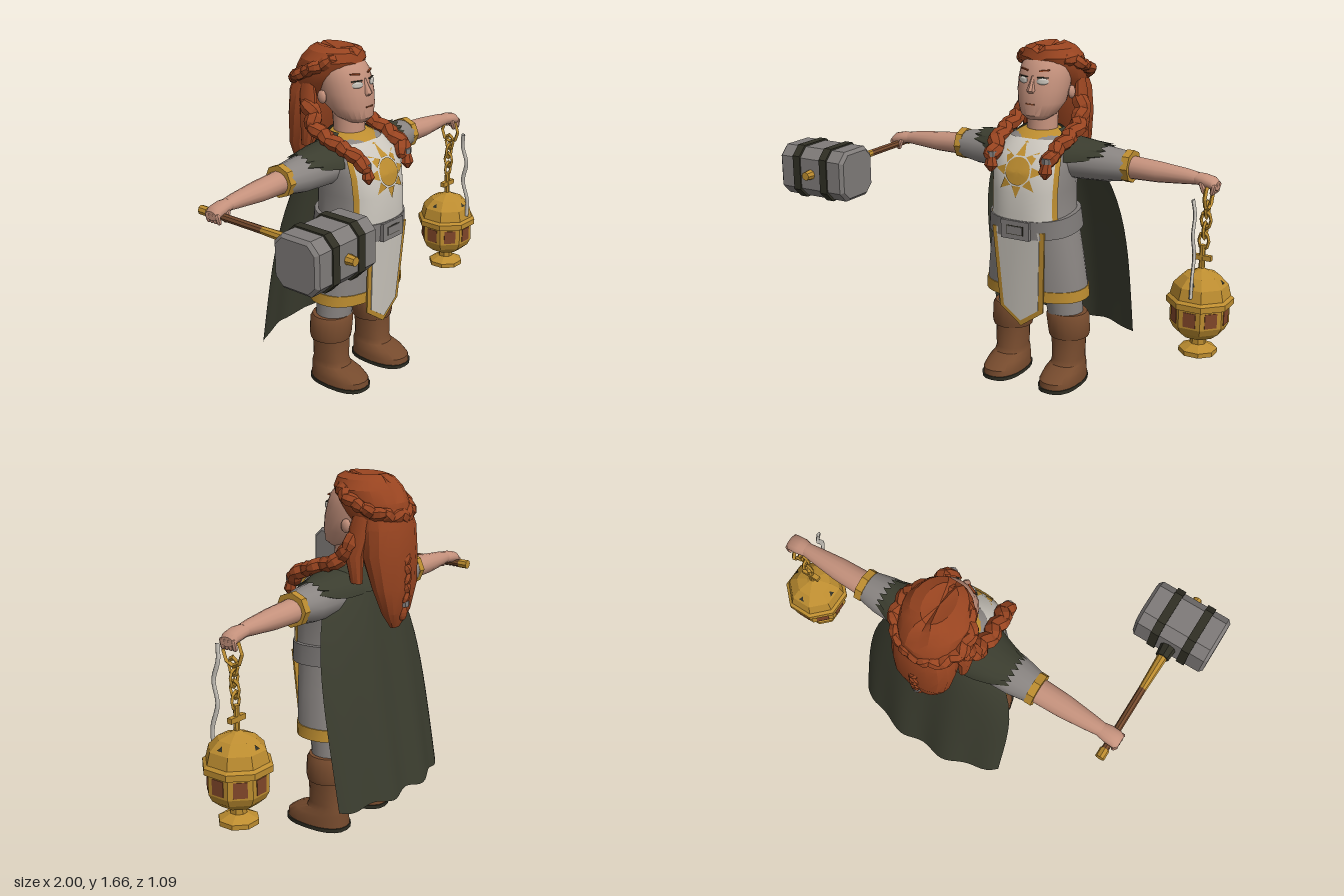
import * as THREE from 'three';
import { toCreasedNormals } from 'three/addons/utils/BufferGeometryUtils.js';

const mat = (name, color, side = THREE.FrontSide) => {
  const m = new THREE.MeshStandardMaterial({ color, side });
  m.name = name;
  return m;
};
const FLAT = 0.05, V = (...a) => new THREE.Vector3(...a);

// Skin over superellipse sections [t, cu, cv, ru, rv] along an axis; an arc gives an open shell.
// Axis y: u = x, v = z. Axis x: u = z, v = y.
function loft(secs, { axis = 'y', seg = 20, p = 2, arc = null, jag = 0 } = {}) {
  const [a0, a1] = arc || [0, Math.PI * 2], pos = [], idx = [], n = seg + 1;
  const put = (t, u, v) => pos.push(...(axis === 'y' ? [u, t, v] : [t, v, u]));
  const pw = k => Math.sign(k) * Math.abs(k) ** (2 / p);
  secs.forEach(([t, cu, cv, ru, rv], i) => {
    for (let j = 0; j < n; j++) {
      const a = a0 + (a1 - a0) * j / seg;
      put(t + (i === secs.length - 1 ? jag * (j % 2) : 0), cu + ru * pw(Math.cos(a)), cv + rv * pw(Math.sin(a)));
    }
  });
  for (let i = 0; i < secs.length - 1; i++) for (let j = 0; j < seg; j++) {
    const a = i * n + j, c = a + n;
    idx.push(a, c, a + 1, a + 1, c, c + 1);
  }
  if (!arc) [0, secs.length - 1].forEach((i, top) => {
    const k = pos.length / 3;
    put(secs[i][0], secs[i][1], secs[i][2]);
    for (let j = i * n; j < i * n + seg; j++) top ? idx.push(k, j + 1, j) : idx.push(k, j, j + 1);
  });
  if (secs[0][0] > secs[secs.length - 1][0])
    for (let i = 0; i < idx.length; i += 3) [idx[i], idx[i + 1]] = [idx[i + 1], idx[i]];
  const g = new THREE.BufferGeometry();
  g.setAttribute('position', new THREE.Float32BufferAttribute(pos, 3));
  g.setIndex(idx);
  g.computeVertexNormals();
  return g;
}

export function createModel() {
  const skin = mat('skin', 0xc4917c), hair = mat('hair', 0x984420), cloak = mat('cloak', 0x3b3d2f, THREE.DoubleSide);
  const cloth = mat('greyCloth', 0x8a8582), white = mat('whiteCloth', 0xccc7be, THREE.DoubleSide);
  const gold = mat('gold', 0xbd8d30, THREE.DoubleSide), leather = mat('leather', 0x754a2d), dark = mat('darkTrim', 0x302f24);
  const steel = mat('steel', 0x7f7b79), glass = mat('redGlass', 0x804629);

  const root = new THREE.Group(), body = new THREE.Group();
  root.name = 'figure';
  body.name = 'body';
  body.position.x = 0.025;
  root.add(body);
  const add = (name, geo, m, pos = [0, 0, 0], crease = 0.7, parent = body) => {
    const mesh = new THREE.Mesh(toCreasedNormals(geo, crease), m);
    mesh.name = name;
    mesh.position.set(...pos);
    parent.add(mesh);
    return mesh;
  };
  const box = (...s) => new THREE.BoxGeometry(...s);
  const ball = (r, sx = 1, sy = 1, sz = 1) => new THREE.SphereGeometry(r, 12, 8).scale(sx, sy, sz);
  const rod = (r0, r1, h, seg = 8) => new THREE.CylinderGeometry(r0, r1, h, seg);

  // Plaited strand: overlapping knots that lean to alternate sides
  function braid(name, pts, n, r, closed = false) {
    const curve = new THREE.CatmullRomCurve3(pts.map(q => V(...q)), closed), g = new THREE.Group();
    g.name = name;
    body.add(g);
    for (let i = 0; i < n; i++) {
      const t = i / (closed ? n : n - 1), q = curve.getPointAt(t);
      const knot = add('knot', new THREE.SphereGeometry(r, 7, 5).scale(1, 1.35, 0.9), hair, q.toArray(), FLAT, g);
      knot.quaternion.setFromUnitVectors(V(0, 1, 0), curve.getTangentAt(t));
      knot.rotateZ(i % 2 ? 0.55 : -0.55);
    }
  }

  // Torso and tabard
  const torso = [[0.8, 0, -0.14, 0.205, 0.185], [0.9, 0, -0.14, 0.188, 0.187], [1.0, 0, -0.14, 0.188, 0.185],
    [1.1, 0, -0.145, 0.192, 0.178], [1.18, 0, -0.165, 0.185, 0.16], [1.24, 0, -0.19, 0.14, 0.115], [1.265, 0, -0.2, 0.085, 0.08]];
  add('torso', loft(torso, { p: 2.5, seg: 28 }), cloth);
  const over = torso.slice(0, 6).map(([y, x, z, a, b]) => [y, x, z, a + 0.006, b + 0.006]);
  const front = Math.PI / 2;
  add('tabardChest', loft(over, { p: 2.5, arc: [front - 0.9, front + 0.9] }), white);
  for (const s of [-1, 1])
    add('tabardEdge', loft(over, { p: 2.5, seg: 3, arc: [front + s * 0.985 - 0.085, front + s * 0.985 + 0.085] }), gold);
  add('collar', loft([[1.225, 0, -0.185, 0.15, 0.135], [1.25, 0, -0.195, 0.125, 0.11], [1.27, 0, -0.2, 0.09, 0.085]]), gold);
  add('neck', loft([[1.24, 0, -0.2, 0.075, 0.075], [1.37, 0, -0.21, 0.07, 0.08]]), skin);

  // Sun badge laid on the curve of the chest
  const chestZ = (x, y) => {
    const i = Math.max(1, torso.findIndex(s => s[0] >= y)), A = torso[i - 1], B = torso[i];
    const k = (y - A[0]) / (B[0] - A[0]), f = c => A[c] + (B[c] - A[c]) * k;
    return f(2) + f(4) * (1 - Math.min(1, Math.abs(x) / f(3)) ** 2.5) ** 0.4;
  };
  const rays = Array.from({ length: 8 }, (_, i) => {
    const at = (r, d) => new THREE.Vector2(r * Math.sin(i * Math.PI / 4 + d), r * Math.cos(i * Math.PI / 4 + d));
    return new THREE.Shape([at(0.073, 0.33), at(0.073, -0.33), at(0.125, 0)]);
  });
  for (const [name, g] of [['sunDisc', new THREE.RingGeometry(0, 0.064, 24, 4)], ['sunRays', new THREE.ShapeGeometry(rays)]]) {
    const q = g.attributes.position;
    for (let i = 0; i < q.count; i++) {
      const y = q.getY(i) + 1.105;
      q.setXYZ(i, q.getX(i), y, chestZ(q.getX(i), y) + 0.012);
    }
    add(name, g, gold);
  }

  // Belt
  const belt = add('belt', loft([[-0.045, 0, -0.145, 0.224, 0.2], [0.045, 0, -0.145, 0.212, 0.2]], { p: 2.4, seg: 28 }), steel, [0, 0.83, 0]);
  belt.rotation.x = 0.07;
  add('buckle', box(0.15, 0.09, 0.02), steel, [0, 0.825, 0.055]);
  add('buckleBar', box(0.09, 0.045, 0.008), dark, [0, 0.825, 0.062]);
  add('bucklePlate', box(0.082, 0.037, 0.008), steel, [0, 0.825, 0.065]);

  // Skirt, hem and hanging tabard
  add('skirt', loft([[0.46, 0, -0.168, 0.262, 0.16], [0.52, 0, -0.165, 0.256, 0.16], [0.66, 0, -0.155, 0.236, 0.163],
    [0.82, 0, -0.145, 0.208, 0.165]], { p: 2.4, seg: 28 }), cloth);
  add('hem', loft([[0.455, 0, -0.168, 0.267, 0.165], [0.51, 0, -0.166, 0.262, 0.165]], { p: 2.4, seg: 28 }), gold);
  const flap = (name, inset, z, m) => {
    const w = 0.14 - inset, b = 0.118 - inset, tip = 0.32 + inset * 1.2, low = 0.405 + inset * 0.4;
    const halves = [-1, 1].map(s => new THREE.Shape([[0, 0.82], [s * w, 0.82], [s * b, low], [0, tip]].map(q => new THREE.Vector2(...q))));
    const g = new THREE.ExtrudeGeometry(halves, { depth: 0.008, bevelEnabled: false }), q = g.attributes.position;
    for (let i = 0; i < q.count; i++)
      q.setZ(i, q.getZ(i) + z - 0.005 + (q.getY(i) - 0.32) * 0.083 - Math.abs(q.getX(i)) * 0.09);
    add(name, g, m, [0, 0, 0], 0.4);
  };
  flap('tabardSkirtTrim', 0, 0, gold);
  flap('tabardSkirt', 0.024, 0.004, white);

  // Legs, arms and both sides of the head
  for (const s of [-1, 1]) {
    const X = s * 0.16;
    add('leg', loft([[0.28, s * 0.145, -0.2, 0.085, 0.085], [0.6, s * 0.12, -0.18, 0.1, 0.1]]), cloth);
    add('sole', loft([[0, X, -0.142, 0.097, 0.164], [0.02, X, -0.142, 0.099, 0.166]], { p: 2.5 }), dark);
    add('boot', loft([[0.02, X, -0.142, 0.097, 0.162], [0.048, X, -0.143, 0.096, 0.159], [0.076, X, -0.162, 0.09, 0.138],
      [0.1, X, -0.196, 0.08, 0.102], [0.125, X, -0.198, 0.077, 0.09], [0.27, X, -0.198, 0.082, 0.09]], { p: 2.3 }), leather);
    add('bootCuff', loft([[0.24, X, -0.2, 0.098, 0.1], [0.265, X, -0.2, 0.104, 0.104], [0.345, X - s * 0.008, -0.198, 0.108, 0.104],
      [0.365, X - s * 0.008, -0.198, 0.096, 0.094]]), leather);

    const arm = (name, secs, m, o = {}) => add(name, loft(secs.map(([t, ...r]) => [s * t, ...r]), { axis: 'x', seg: 14, ...o }), m);
    arm('sleeve', [[0.1, -0.2, 1.13, 0.11, 0.085], [0.22, -0.215, 1.13, 0.105, 0.088], [0.35, -0.22, 1.128, 0.095, 0.082],
      [0.46, -0.225, 1.13, 0.072, 0.066]], cloth);
    arm('sleeveCuff', [[0.435, -0.225, 1.13, 0.08, 0.078], [0.47, -0.225, 1.13, 0.08, 0.078]], gold, { seg: 8 });
    arm('forearm', [[0.46, -0.225, 1.126, 0.06, 0.054], [0.6, -0.225, 1.122, 0.055, 0.048], [0.74, -0.225, 1.12, 0.04, 0.035],
      [0.79, -0.225, 1.118, 0.033, 0.028]], skin);
    arm('hand', [[0.77, -0.225, 1.118, 0.032, 0.027], [0.82, -0.225, 1.115, 0.042, 0.03], [0.865, -0.225, 1.105, 0.042, 0.03],
      [0.885, -0.225, 1.095, 0.034, 0.02]], skin);
    for (let i = 0; i < 4; i++)
      add('finger', new THREE.CapsuleGeometry(0.011, 0.032, 3, 6), skin, [s * 0.873, 1.082, -0.256 + i * 0.021]).rotation.z = -s * 0.25;
    add('thumb', new THREE.CapsuleGeometry(0.012, 0.035, 3, 6), skin, [s * 0.825, 1.085, -0.19]).rotation.z = s * 0.4;
    arm('shoulderMantle', [[0.1, -0.205, 1.14, 0.15, 0.105], [0.2, -0.215, 1.138, 0.128, 0.1], [0.27, -0.22, 1.148, 0.105, 0.08],
      [0.325, -0.22, 1.165, 0.075, 0.058]], cloak, { arc: [0.05, Math.PI - 0.05], jag: s * 0.03 });

    add('ear', ball(0.032, 0.5, 1, 0.8), skin, [s * 0.122, 1.44, -0.262]);
    add('eye', ball(0.029, 1, 0.55, 0.3), white, [s * 0.051, 1.507, -0.107]).rotation.y = s * 0.4;
    add('lash', box(0.056, 0.004, 0.008), dark, [s * 0.051, 1.524, -0.111]).rotation.y = s * 0.4;
    add('brow', box(0.05, 0.006, 0.008), hair, [s * 0.052, 1.555, -0.121]).rotation.set(0, s * 0.42, s * 0.1);
    braid('sideBraid', [[s * 0.15, 1.38, -0.31], [s * 0.168, 1.3, -0.26], [s * 0.172, 1.25, -0.14], [s * 0.16, 1.21, -0.04], [s * 0.15, 1.175, 0.0]], 8, 0.043);
    add('hairTie', rod(0.026, 0.026, 0.025), steel, [s * 0.148, 1.17, 0.022]);
    add('braidTuft', loft([[1.085, s * 0.145, 0.035, 0.008, 0.008], [1.115, s * 0.145, 0.033, 0.036, 0.026],
      [1.16, s * 0.148, 0.026, 0.022, 0.018]], { seg: 7 }), hair, [0, 0, 0], FLAT);
    add('sideLock', loft([[1.2, s * 0.15, -0.34, 0.02, 0.03], [1.32, s * 0.148, -0.325, 0.035, 0.045],
      [1.44, s * 0.132, -0.34, 0.025, 0.05], [1.53, s * 0.125, -0.345, 0.01, 0.03]], { seg: 10 }), hair, [0, 0, 0], 0.45);
  }

  // Head and face
  add('head', loft([[1.322, 0, -0.155, 0.05, 0.052], [1.345, 0, -0.168, 0.084, 0.087], [1.4, 0, -0.2, 0.112, 0.122],
    [1.46, 0, -0.215, 0.121, 0.13], [1.51, 0, -0.228, 0.123, 0.13], [1.56, 0, -0.24, 0.119, 0.125],
    [1.605, 0, -0.255, 0.1, 0.107], [1.635, 0, -0.27, 0.05, 0.06]], { seg: 24, p: 2.1 }), skin);
  add('nose', loft([[1.45, 0, -0.095, 0.018, 0.014], [1.464, 0, -0.09, 0.021, 0.027], [1.53, 0, -0.113, 0.006, 0.012]], { seg: 8 }), skin);
  add('mouth', box(0.045, 0.006, 0.008), glass, [0, 1.4, -0.08]);

  // Hair, with a dip along the centre parting
  const cap = loft([[1.43, 0, -0.375, 0.12, 0.105], [1.5, 0, -0.345, 0.146, 0.145], [1.55, 0, -0.32, 0.152, 0.16],
    [1.605, 0, -0.293, 0.15, 0.153], [1.645, 0, -0.28, 0.118, 0.13], [1.663, 0, -0.28, 0.065, 0.1]], { seg: 20 });
  const hp = cap.attributes.position;
  for (let i = 0; i < hp.count; i++)
    if (Math.abs(hp.getX(i)) < 0.01 && hp.getY(i) > 1.6) hp.setY(i, hp.getY(i) - 0.018);
  add('hairCap', cap, hair, [0, 0, 0], 0.45);
  add('mane', loft([[0.985, 0, -0.447, 0.03, 0.015], [1.06, 0, -0.45, 0.09, 0.045], [1.18, 0, -0.44, 0.138, 0.072],
    [1.32, 0, -0.412, 0.155, 0.098], [1.44, 0, -0.4, 0.148, 0.105], [1.53, 0, -0.38, 0.12, 0.1]], { seg: 16, p: 2.3 }), hair, [0, 0, 0], 0.45);
  braid('crownBraid', Array.from({ length: 12 }, (_, i) => {
    const a = i * Math.PI / 6;
    return [0.162 * Math.sin(a), 1.555 + 0.065 * Math.cos(a), -0.335 + 0.14 * Math.cos(a)];
  }), 22, 0.035, true);
  braid('backBraid', [[0, 1.3, -0.498], [0, 1.22, -0.503], [0, 1.13, -0.497]], 5, 0.025);
  add('backTie', rod(0.022, 0.022, 0.025), steel, [0, 1.1, -0.495]);
  add('backTuft', ball(0.026, 1, 1.6, 0.8), hair, [0, 1.06, -0.485], FLAT);

  // Cloak: a sheet that widens downward, with its sides brought forward and soft folds
  const cape = new THREE.PlaneGeometry(2, 1, 32, 14), cp = cape.attributes.position;
  for (let i = 0; i < cp.count; i++) {
    const u = cp.getX(i), t = 0.5 - cp.getY(i), w = 0.2 + 0.2 * (1 - (1 - t) ** 4.5);
    cp.setXYZ(i, u * w, 1.22 - t * (1.005 - 0.01 * Math.cos(u * 11)),
      -0.335 - 0.2 * t ** 0.85 + 0.11 * Math.abs(u) ** 3 + 0.011 * t * Math.cos(u * 10));
  }
  add('cloak', cape, cloak);
  add('cloakYoke', loft([[1.15, 0, -0.2, 0.215, 0.175], [1.21, 0, -0.2, 0.185, 0.15], [1.275, 0, -0.205, 0.1, 0.09]],
    { arc: [Math.PI - 0.25, Math.PI * 2 + 0.25] }), cloak);

  // Hammer, with its shaft along z
  const hammer = new THREE.Group();
  hammer.name = 'hammer';
  hammer.position.set(-0.842, 1.085, 0);
  body.add(hammer);
  const block = (name, h, len, bevel, x, m) => {
    const c = h - 0.045, e = [[h, c], [c, h], [-c, h], [-h, c], [-h, -c], [-c, -h], [c, -h], [h, -c]];
    const g = new THREE.ExtrudeGeometry(new THREE.Shape(e.map(q => new THREE.Vector2(...q))),
      { depth: len - 2 * bevel, bevelEnabled: bevel > 0, bevelSize: bevel, bevelThickness: bevel, bevelOffset: -bevel, bevelSegments: 1 });
    add(name, g.translate(0, 0, bevel - len / 2).rotateY(Math.PI / 2), m, [x, 0, 0.388], FLAT, hammer);
  };
  block('hammerHead', 0.118, 0.365, 0.015, 0, steel);
  for (const s of [-1, 1]) block('hammerBand', 0.125, 0.04, 0, s * 0.077, dark);
  const shaft = (name, r0, r1, z0, z1, m) =>
    add(name, rod(r1, r0, z1 - z0).rotateX(Math.PI / 2), m, [0, 0, (z0 + z1) / 2], FLAT, hammer);
  shaft('shaft', 0.017, 0.018, -0.31, 0.1, leather);
  shaft('shaftSleeve', 0.018, 0.024, 0.04, 0.23, gold);
  shaft('pommel', 0.022, 0.022, -0.33, -0.285, gold);
  shaft('collarRing', 0.032, 0.038, 0.215, 0.275, dark);
  shaft('headStud', 0.025, 0.02, 0.5, 0.545, gold);

  // Hanging censer
  const censer = new THREE.Group();
  censer.name = 'censer';
  censer.position.set(0.828, 0, -0.22);
  body.add(censer);
  const profile = [[0, 0.283], [0.083, 0.283], [0.083, 0.305], [0.035, 0.33], [0.035, 0.355], [0.075, 0.372], [0.112, 0.405], [0.127, 0.438],
    [0.127, 0.525], [0.144, 0.53], [0.144, 0.558], [0.13, 0.57], [0.117, 0.625], [0.078, 0.668], [0.028, 0.688], [0.013, 0.7], [0.013, 0.81], [0, 0.815]];
  add('vessel', new THREE.LatheGeometry(profile.map(([r, y]) => new THREE.Vector2(r * 1.082, y)), 8, Math.PI / 8), gold, [0, 0, 0], FLAT, censer);
  for (let i = 0; i < 8; i++)
    add('window', box(0.06, 0.07, 0.008).translate(0, 0.482, 0.126).rotateY(i * Math.PI / 4), glass, [0, 0, 0], FLAT, censer);
  for (let i = 0; i < 4; i++)
    add('lidVent', new THREE.CircleGeometry(0.016, 3, Math.PI / 2).rotateX(-0.75).translate(0, 0.645, 0.105).rotateY(i * Math.PI / 2),
      dark, [0, 0, 0], FLAT, censer);
  add('crossBar', box(0.09, 0.024, 0.024), gold, [0, 0.75, 0], FLAT, censer);
  for (let i = 0; i < 4; i++)
    add('chainLink', new THREE.TorusGeometry(0.024, 0.008, 4, 8).scale(1, 1.55, 1).rotateY(i % 2 * Math.PI / 2), gold,
      [0.004 + i * 0.003, 0.83 + i * 0.05, 0], FLAT, censer);
  add('handRing', new THREE.TorusGeometry(0.05, 0.01, 4, 8).scale(1, 1.15, 1).rotateY(Math.PI / 2), gold, [0.016, 1.04, 0], FLAT, censer);
  const smoke = new THREE.CatmullRomCurve3([[0.005, 0.59, 0.13], [0.008, 0.68, 0.13], [0, 0.79, 0.103], [-0.004, 0.89, 0.124],
    [-0.01, 0.98, 0.1], [-0.025, 1.05, 0.108]].map(q => V(...q)));
  add('smoke', new THREE.TubeGeometry(smoke, 30, 0.012, 6).scale(0.6, 1, 1), white, [0, 0, 0], 0.9, censer);

  return root;
}
